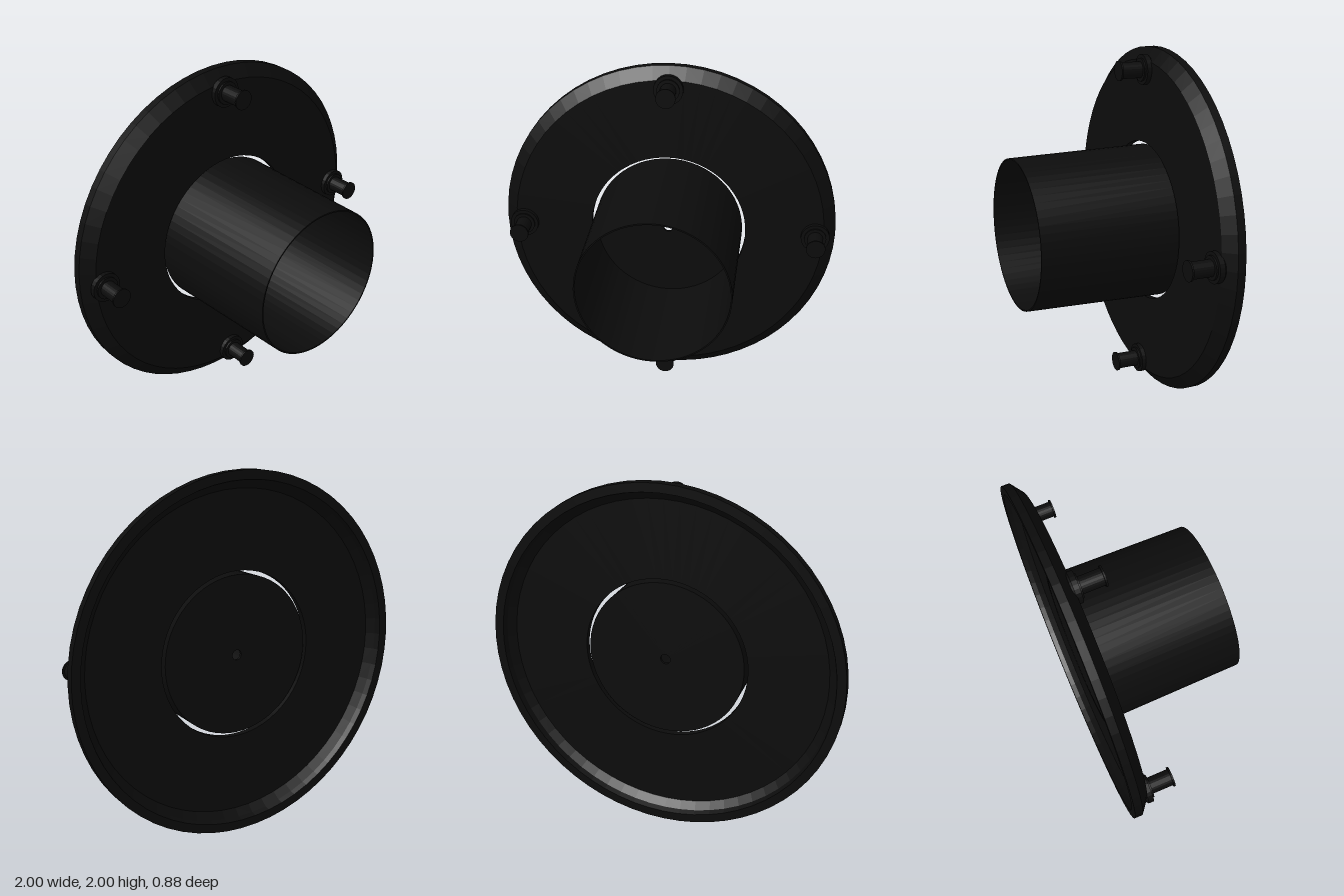
import * as THREE from 'three';

const black = new THREE.MeshStandardMaterial({ color: 0x0c0c0c, flatShading: true });
black.name = 'matte black';

// Revolves a closed [radius, z] outline around the z axis
function turned(name, outline, segments) {
  const points = outline.map(([r, z]) => new THREE.Vector2(r, z));
  const geometry = new THREE.LatheGeometry(points, segments);
  geometry.rotateX(Math.PI / 2);
  const mesh = new THREE.Mesh(geometry, black);
  mesh.name = name;
  return mesh;
}

export function createModel() {
  const model = new THREE.Group();
  model.name = 'flangedCup';

  // Flange: chamfered rim, shallow recess at the back, central opening
  const flange = turned('flange', [
    [0.465, -0.375], [0.9, -0.375], [0.94, -0.41], [0.95, -0.44],
    [1, -0.44], [1, -0.395], [0.93, -0.34], [0.465, -0.34], [0.465, -0.375],
  ], 64);

  // Cup: thin tapered wall, open at the front, pierced floor at the back
  const cup = turned('cup', [
    [0.028, -0.375], [0.444, -0.375], [0.43, 0.44], [0.422, 0.44],
    [0.434, -0.36], [0.028, -0.36], [0.028, -0.375],
  ], 64);
  model.add(flange, cup);

  // Four mounting studs: collar, shaft and thin end cap
  for (let i = 0; i < 4; i++) {
    const angle = i * Math.PI / 2;
    const stud = turned('mountingStud', [
      [0, -0.355], [0.075, -0.355], [0.085, -0.345], [0.085, -0.315],
      [0.065, -0.315], [0.065, -0.305], [0.046, -0.305], [0.046, -0.185],
      [0.056, -0.185], [0.056, -0.175], [0, -0.175],
    ], 24);
    stud.position.set(Math.cos(angle) * 0.88, Math.sin(angle) * 0.88, 0);
    model.add(stud);
  }

  // Stand the rim on the ground
  model.children.forEach((part) => { part.position.y += 1; });
  return model;
}
